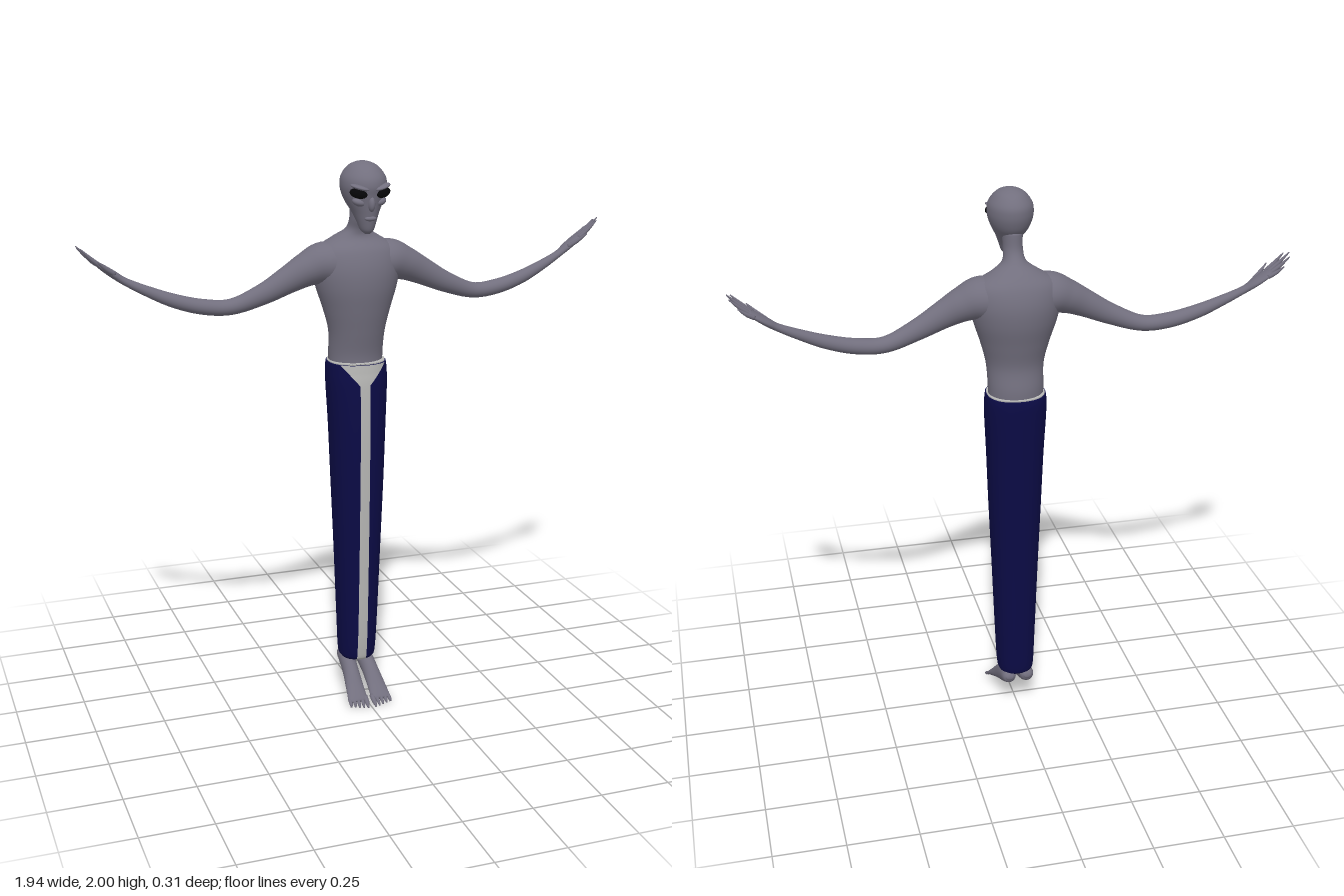
import * as THREE from 'three';

const mat = (name, color) => new THREE.MeshStandardMaterial({ name, color });

// Smooth curve through sections [x, y, z, halfSide, halfOther]
function sampler(sections) {
  const c = new THREE.CatmullRomCurve3(sections.map(s => new THREE.Vector3(s[0], s[1], s[2])), false, 'catmullrom', 0.5);
  const r = new THREE.CatmullRomCurve3(sections.map(s => new THREE.Vector3(s[3], s[4], 0)), false, 'catmullrom', 0.5);
  return t => {
    const h = r.getPoint(t);
    return { p: c.getPoint(t), tan: c.getTangent(t), a: Math.max(h.x, 0.001), b: Math.max(h.y, 0.001) };
  };
}

// Closed loft of (super)elliptical rings; `side` is the direction of the first half-width
function loft(sections, { side, up = null, n = 2, seg = 28, steps = 6 }) {
  const at = sampler(sections), rows = (sections.length - 1) * steps;
  const pos = [], idx = [];
  const pw = v => Math.sign(v) * Math.pow(Math.abs(v), 2 / n);
  for (let i = 0; i <= rows; i++) {
    const { p, tan, a, b } = at(i / rows);
    const T = up || tan;
    const V = new THREE.Vector3().crossVectors(T, side).normalize();
    const U = new THREE.Vector3().crossVectors(V, T).normalize();
    for (let j = 0; j < seg; j++) {
      const th = j / seg * Math.PI * 2;
      const q = p.clone().addScaledVector(U, a * pw(Math.cos(th))).addScaledVector(V, b * pw(Math.sin(th)));
      pos.push(q.x, q.y, q.z);
    }
  }
  for (let i = 0; i < rows; i++) for (let j = 0; j < seg; j++) {
    const k = (j + 1) % seg, a = i * seg + j, b = i * seg + k;
    idx.push(a, b, a + seg, b, b + seg, a + seg);
  }
  // end caps
  const first = at(0).p, last = at(1).p, c0 = pos.length / 3;
  pos.push(first.x, first.y, first.z, last.x, last.y, last.z);
  for (let j = 0; j < seg; j++) {
    const k = (j + 1) % seg;
    idx.push(c0, k, j, c0 + 1, rows * seg + j, rows * seg + k);
  }
  const g = new THREE.BufferGeometry();
  g.setAttribute('position', new THREE.Float32BufferAttribute(pos, 3));
  g.setIndex(idx);
  g.computeVertexNormals();
  return g;
}

const X = new THREE.Vector3(1, 0, 0), Y = new THREE.Vector3(0, 1, 0), Z = new THREE.Vector3(0, 0, 1);
// Upright section: height, half width, front z, back z
const level = ([y, w, f, b]) => [0, y, (f + b) / 2, w, (f - b) / 2];

export function createModel() {
  const root = new THREE.Group();
  const skin = mat('greySkin', 0x726f7e), navy = mat('navyCloth', 0x0b0b45);
  const pale = mat('paleStripe', 0xb6b6b4), black = mat('eyeBlack', 0x060608);
  pale.side = THREE.DoubleSide;
  const add = (name, geo, m, parent = root) => {
    const mesh = new THREE.Mesh(geo, m);
    mesh.name = name;
    parent.add(mesh);
    return mesh;
  };

  // Torso running up into the neck
  add('torsoAndNeck', loft([
    [1.26, 0.098, 0.05, -0.125], [1.32, 0.098, 0.05, -0.125], [1.40, 0.102, 0.065, -0.115],
    [1.48, 0.122, 0.08, -0.13], [1.56, 0.147, 0.09, -0.148], [1.63, 0.158, 0.085, -0.15],
    [1.69, 0.145, 0.063, -0.132], [1.73, 0.085, 0.03, -0.1], [1.76, 0.042, 0.028, -0.062],
    [1.80, 0.034, 0.045, -0.036], [1.86, 0.036, 0.06, -0.03],
  ].map(level), { side: X, up: Y, seg: 40 }), skin);

  // Head with a narrow pointed jaw
  const head = new THREE.Group();
  head.name = 'head';
  root.add(head);
  add('skull', loft([
    [1.757, 0.010, 0.10, 0.075], [1.77, 0.023, 0.113, 0.05], [1.80, 0.034, 0.122, 0.03],
    [1.83, 0.046, 0.128, 0.0], [1.86, 0.062, 0.133, -0.032], [1.89, 0.074, 0.138, -0.047],
    [1.92, 0.079, 0.143, -0.053], [1.95, 0.074, 0.134, -0.049], [1.98, 0.052, 0.105, -0.025],
    [1.994, 0.027, 0.075, 0.005], [2.0, 0.003, 0.044, 0.036],
  ].map(level), { side: X, up: Y, seg: 36 }), skin, head);
  const blob = (name, m, p, s, r = [0, 0, 0]) => {
    const b = add(name, new THREE.SphereGeometry(1, 20, 14), m, head);
    b.position.set(...p);
    b.scale.set(...s);
    b.rotation.set(...r);
  };
  blob('nose', skin, [0, 1.862, 0.13], [0.012, 0.026, 0.016]);
  blob('mouth', skin, [0, 1.812, 0.119], [0.021, 0.009, 0.012]);
  for (const s of [1, -1]) {
    blob('eye', black, [s * 0.044, 1.899, 0.122], [0.031, 0.017, 0.02], [0, s * 0.55, s * 0.2]);
    blob('brow', skin, [s * 0.04, 1.919, 0.125], [0.034, 0.008, 0.022], [0, s * 0.5, s * 0.25]);
    blob('cheek', skin, [s * 0.038, 1.868, 0.108], [0.024, 0.014, 0.02], [0, s * 0.5, s * 0.3]);
  }

  // Trousers
  const trousers = [
    [0.145, 0.058, 0.03, -0.09], [0.17, 0.067, 0.042, -0.103], [0.3, 0.073, 0.055, -0.108],
    [0.6, 0.084, 0.068, -0.115], [0.85, 0.094, 0.076, -0.122], [1.05, 0.101, 0.08, -0.13],
    [1.2, 0.108, 0.077, -0.137], [1.26, 0.108, 0.071, -0.139], [1.288, 0.105, 0.068, -0.136],
  ].map(level);
  const n = 2.3;
  add('trousers', loft(trousers, { side: X, up: Y, n, seg: 48, steps: 8 }), navy);
  add('waistband', loft([[1.284, 0.103, 0.066, -0.134], [1.293, 0.101, 0.062, -0.131]].map(level),
    { side: X, up: Y, n, seg: 48, steps: 1 }), pale);

  // Front stripe, flaring out at the waist and following the cloth
  const at = sampler(trousers), rows = 96, cols = 16;
  const stripe = new THREE.PlaneGeometry(1, 1, cols, rows), sp = stripe.attributes.position;
  for (let i = 0; i <= rows; i++) for (let j = 0; j <= cols; j++) {
    const { p, a, b } = at(1 - i / rows);
    const flare = THREE.MathUtils.clamp((p.y - 1.215) / 0.073, 0, 1);
    const x = (j / cols * 2 - 1) * (0.018 + 0.065 * flare);
    const z = p.z + b * Math.pow(1 - Math.pow(Math.abs(x) / a, n), 1 / n);
    sp.setXYZ(i * (cols + 1) + j, x - 0.003 * (1 - flare), p.y, z + 0.003);
  }
  stripe.computeVertexNormals();
  add('frontStripe', stripe, pale);

  for (const s of [1, -1]) {
    const side = s > 0 ? 'left' : 'right';
    const flip = list => list.map(([x, ...rest]) => [s * x, ...rest]);

    // Arm from shoulder to palm
    const arm = new THREE.Group();
    arm.name = side + 'Arm';
    root.add(arm);
    add('armAndPalm', loft(flip([
      [0.05, 1.635, -0.03, 0.085, 0.07], [0.12, 1.642, -0.03, 0.083, 0.074], [0.18, 1.625, -0.028, 0.066, 0.06],
      [0.25, 1.592, -0.027, 0.047, 0.048], [0.34, 1.547, -0.03, 0.036, 0.037], [0.45, 1.508, -0.042, 0.031, 0.028],
      [0.55, 1.513, -0.05, 0.030, 0.027], [0.65, 1.540, -0.058, 0.026, 0.024], [0.74, 1.578, -0.068, 0.020, 0.018],
      [0.81, 1.613, -0.078, 0.017, 0.013], [0.845, 1.637, -0.083, 0.026, 0.013], [0.88, 1.662, -0.086, 0.031, 0.011],
      [0.902, 1.679, -0.087, 0.026, 0.007],
    ]), { side: Z, seg: 28 }), skin, arm);
    // Fingers and thumb: base, tip
    [
      [[0.885, 1.664, -0.109], [0.937, 1.702, -0.121]],
      [[0.892, 1.670, -0.096], [0.962, 1.730, -0.104]],
      [[0.892, 1.672, -0.082], [0.968, 1.740, -0.083]],
      [[0.888, 1.670, -0.067], [0.955, 1.732, -0.062]],
      [[0.845, 1.640, -0.066], [0.905, 1.690, -0.036]],
    ].forEach(([a, b], i) => {
      const mid = a.map((v, k) => (v + b[k]) / 2);
      mid[1] -= 0.003;
      add(i < 4 ? 'finger' : 'thumb', loft(flip([
        [...a, 0.008, 0.008], [...mid, 0.0068, 0.0068], [...b, 0.002, 0.002],
      ]), { side: Z, seg: 10, steps: 5 }), skin, arm);
    });

    // Foot hanging toes-down
    const foot = new THREE.Group();
    foot.name = side + 'Foot';
    root.add(foot);
    add('ankleAndFoot', loft(flip([
      [0.034, 0.138, -0.098, 0.012, 0.008], [0.034, 0.134, -0.08, 0.026, 0.026], [0.035, 0.118, -0.03, 0.029, 0.036],
      [0.038, 0.092, 0.02, 0.030, 0.032], [0.042, 0.055, 0.075, 0.034, 0.019], [0.044, 0.027, 0.115, 0.037, 0.010],
      [0.044, 0.020, 0.124, 0.035, 0.006],
    ]), { side: X, seg: 24 }), skin, foot);
    for (let i = 0; i < 5; i++) {
      const x = 0.013 + i * 0.0155, end = 0.153 - i * 0.004, r = i ? 0.0065 : 0.009;
      add('toe', loft(flip([
        [x, 0.03, 0.108, r, r], [x + 0.001, 0.017, 0.132, r, r * 0.9], [x + 0.002, 0.004 + i * 0.001, end, 0.003, 0.003],
      ]), { side: X, seg: 10, steps: 5 }), skin, foot);
    }
  }
  return root;
}
